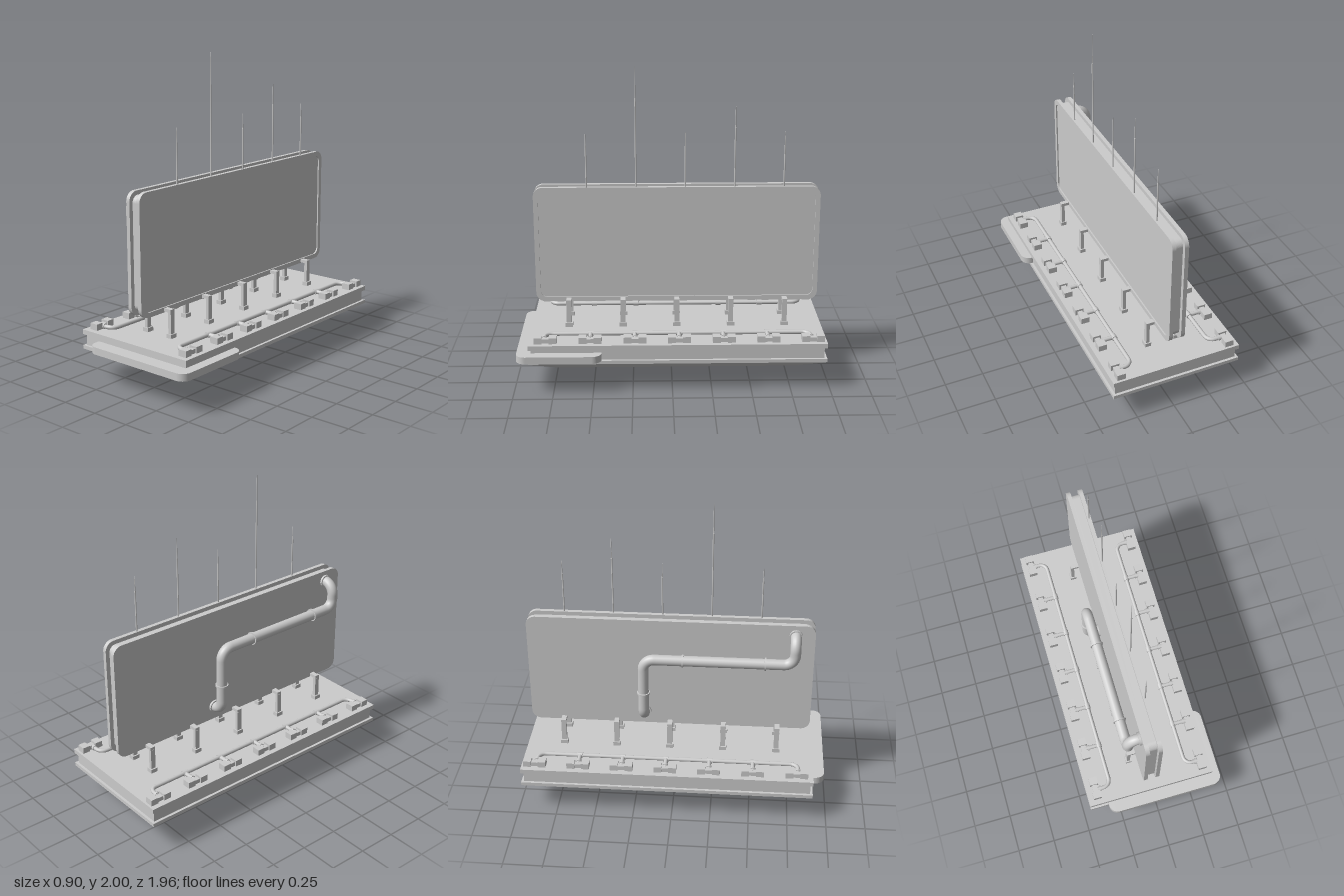
import * as THREE from 'three';

const material = new THREE.MeshStandardMaterial({ color: 0xcccccc });
const CX = -0.026, CZ = -0.035; // centre of the deck

function add(parent, name, geometry, x = 0, y = 0, z = 0) {
  const mesh = new THREE.Mesh(geometry, material);
  mesh.name = name;
  mesh.position.set(x, y, z);
  parent.add(mesh);
  return mesh;
}

// Box given by its lowest and highest corners
function box(parent, name, x0, x1, y0, y1, z0, z1) {
  return add(parent, name, new THREE.BoxGeometry(x1 - x0, y1 - y0, z1 - z0),
    (x0 + x1) / 2, (y0 + y1) / 2, (z0 + z1) / 2);
}

function roundedRect(a0, a1, b0, b1, r, Type = THREE.Shape) {
  const s = new Type();
  s.absarc(a1 - r, b0 + r, r, -Math.PI / 2, 0);
  s.absarc(a1 - r, b1 - r, r, 0, Math.PI / 2);
  s.absarc(a0 + r, b1 - r, r, Math.PI / 2, Math.PI);
  s.absarc(a0 + r, b0 + r, r, Math.PI, Math.PI * 1.5);
  s.closePath();
  return s;
}

// Upright rounded plate in the z-y plane, inset from the panel outline
function panelPlate(parent, name, x0, x1, inset, rim = 0) {
  const outline = d => [-0.95 + d, 0.877 - d, 0.47 + d, 1.235 - d, 0.06 - d * 0.6];
  const shape = roundedRect(...outline(inset));
  if (rim) shape.holes.push(roundedRect(...outline(inset + rim), THREE.Path));
  const g = new THREE.ExtrudeGeometry(shape, { depth: x1 - x0, bevelEnabled: false, curveSegments: 8 });
  g.rotateY(-Math.PI / 2);
  add(parent, name, g, x1, 0, 0);
}

// Straight runs joined by rounded bends
function pipe(parent, name, points, bend, radius, segments, sides) {
  const p = points.map(a => new THREE.Vector3(...a));
  const path = new THREE.CurvePath();
  let from = p[0];
  for (let i = 1; i < p.length - 1; i++) {
    const a = p[i].clone().add(p[i - 1].clone().sub(p[i]).setLength(bend));
    const b = p[i].clone().add(p[i + 1].clone().sub(p[i]).setLength(bend));
    path.add(new THREE.LineCurve3(from, a));
    // cubic handles that approximate a quarter circle
    path.add(new THREE.CubicBezierCurve3(a, a.clone().lerp(p[i], 0.55), b.clone().lerp(p[i], 0.55), b));
    from = b;
  }
  path.add(new THREE.LineCurve3(from, p[p.length - 1]));
  return add(parent, name, new THREE.TubeGeometry(path, segments, radius, sides), 0, 0, 0);
}

// Disc or rod along the given axis
function rod(parent, name, axis, radius, length, x, y, z, sides = 20) {
  const g = new THREE.CylinderGeometry(radius, radius, length, sides);
  if (axis === 'x') g.rotateZ(Math.PI / 2);
  if (axis === 'z') g.rotateX(Math.PI / 2);
  return add(parent, name, g, x, y, z);
}

function buildBase() {
  const base = new THREE.Group();
  base.name = 'base';
  box(base, 'deckPlate', -0.455, 0.40, 0.285, 0.315, -0.975, 0.905);
  box(base, 'deckCore', -0.438, 0.383, 0.213, 0.285, -0.958, 0.888);
  box(base, 'lowerRim', -0.455, 0.40, 0.19, 0.213, -0.975, 0.905);

  // Tapered hull: the bottom corners are pulled inwards
  const hull = new THREE.BoxGeometry(0.855, 0.092, 1.88);
  const pos = hull.attributes.position;
  for (let i = 0; i < pos.count; i++) {
    if (pos.getY(i) < 0) {
      pos.setX(i, Math.sign(pos.getX(i)) * 0.272);
      pos.setZ(i, Math.sign(pos.getZ(i)) * 0.765);
    }
  }
  hull.computeVertexNormals();
  add(base, 'taperedHull', hull, -0.0275, 0.144, CZ);

  // Stepped plates underneath
  box(base, 'undersidePlate', -0.20, 0.14, 0.065, 0.10, -0.665, 0.595);
  box(base, 'undersideStep', -0.097, 0.037, 0.034, 0.066, -0.297, 0.228);
  box(base, 'undersideFoot', -0.077, 0.02, 0, 0.035, -0.092, 0.023);

  // Rounded ledge around the front corner
  const ledge = new THREE.ExtrudeGeometry(roundedRect(-0.33, 0.45, 0.445, 0.98, 0.06),
    { depth: 0.046, bevelEnabled: false, curveSegments: 8 });
  ledge.rotateX(Math.PI / 2);
  add(base, 'cornerLedge', ledge, 0, 0.261, 0);
  return base;
}

function buildPanel() {
  const panel = new THREE.Group();
  panel.name = 'panel';
  panelPlate(panel, 'backPlate', -0.08, -0.054, 0);
  panelPlate(panel, 'panelCore', -0.054, 0, 0.026);
  panelPlate(panel, 'frontFrame', 0, 0.026, 0, 0.03);
  panelPlate(panel, 'frontFace', 0, 0.017, 0.025);

  // Antennas along the top edge
  [1.58, 2.0, 1.59, 1.75, 1.59].forEach((top, i) => {
    const z = 0.538 - i * 0.3133, height = top - 1.22, lower = height * 0.75;
    rod(panel, 'antennaRod', 'y', 0.0048, lower, 0.013, 1.22 + lower / 2, z, 8);
    add(panel, 'antennaTip', new THREE.CylinderGeometry(0.0015, 0.0035, height - lower, 8),
      0.013, 1.22 + (height + lower) / 2, z);
  });

  // Brackets that carry the panel
  for (let i = 0; i < 5; i++) {
    const z = 0.665 - i * 0.35, w = 0.016;
    const bracket = new THREE.Group();
    bracket.name = 'bracket';
    box(bracket, 'crossArm', -0.135, 0.08, 0.475, 0.495, z - w, z + w);
    for (const x of [-0.125, 0.069]) {
      box(bracket, 'post', x - 0.011, x + 0.011, 0.315, 0.476, z - w, z + w);
      box(bracket, 'postFoot', x - 0.02, x + 0.02, 0.315, 0.341, z - 0.024, z + 0.024);
    }
    panel.add(bracket);
  }
  return panel;
}

// Large bent pipe on the back of the panel
function buildMainPipe() {
  const group = new THREE.Group();
  group.name = 'mainPipe';
  const x = -0.157, r = 0.034;
  pipe(group, 'bentPipe', [[-0.07, 1.165, 0.755], [x, 1.165, 0.755], [x, 0.998, 0.755],
    [x, 0.998, -0.2], [x, 0.563, -0.2], [-0.07, 0.563, -0.2]], 0.07, r, 160, 18);
  rod(group, 'upperFlange', 'x', 0.042, 0.014, -0.087, 1.165, 0.755);
  rod(group, 'lowerFlange', 'x', 0.042, 0.014, -0.087, 0.563, -0.2);
  for (const z of [0.05, 0.57]) rod(group, 'pipeCollar', 'z', 0.042, 0.01, x, 0.998, z);
  rod(group, 'pipeCollar', 'y', 0.042, 0.01, x, 0.75, -0.2);
  return group;
}

// Connector blocks and thin pipe along one long edge of the deck
function buildEdgePipes(side) {
  const group = new THREE.Group();
  group.name = side > 0 ? 'leftEdgePipes' : 'rightEdgePipes';
  const at = d => CX + side * d;
  const y = 0.33, r = 0.0135, run = 0.262, z0 = -0.878, z1 = 0.807;
  pipe(group, 'edgePipe', [[at(0.35), y, z0], [at(run), y, z0], [at(run), y, z1], [at(0.35), y, z1]],
    0.05, r, 130, 10);
  for (let i = 0; i < 7; i++) {
    const z = -0.888 + i * 0.281, bx = at(0.367);
    for (const s of [-1, 1]) {
      const c = z + s * 0.047;
      box(group, 'connectorBlock', bx - 0.028, bx + 0.028, 0.315, 0.355, c - 0.025, c + 0.025);
    }
    box(group, 'connectorBridge', bx - 0.017, bx + 0.017, 0.315, 0.342, z - 0.025, z + 0.025);
    const pz = i === 0 ? z0 : i === 6 ? z1 : z;
    rod(group, 'connectorCollar', 'x', 0.018, 0.014, at(0.335), y, pz, 12);
    if (i > 0 && i < 6) {
      rod(group, 'branchPipe', 'x', r, 0.1, at(run + 0.05), y, z, 10);
      rod(group, 'branchCollar', 'z', 0.018, 0.034, at(run), y, z, 12);
    }
  }
  return group;
}

export function createModel() {
  const model = new THREE.Group();
  model.name = 'panelPlatform';
  model.add(buildBase(), buildPanel(), buildMainPipe(), buildEdgePipes(1), buildEdgePipes(-1));
  return model;
}
